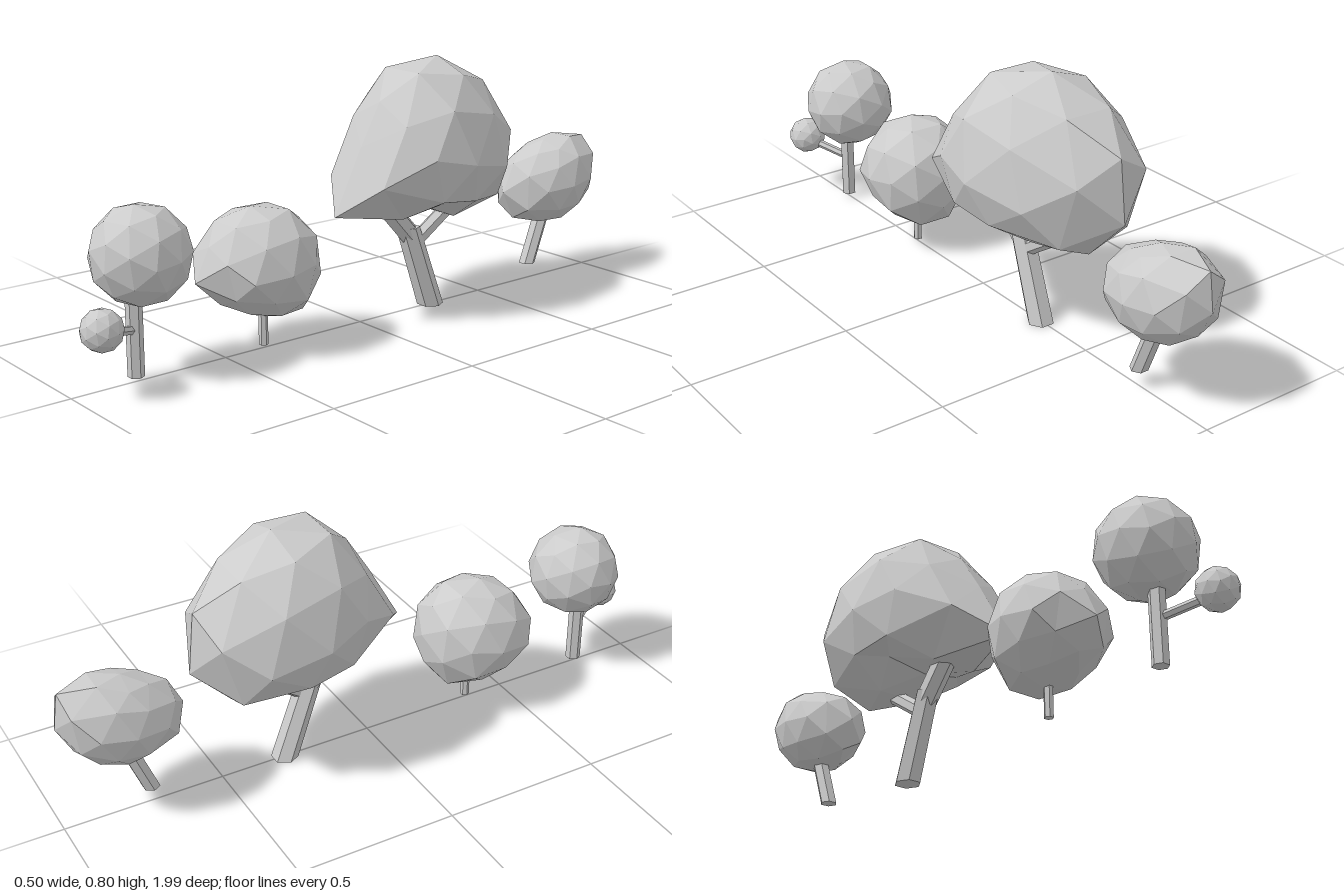
import * as THREE from 'three';

const material = new THREE.MeshStandardMaterial({ color: 0xcccccc, flatShading: true });

function addMesh(group, name, geometry) {
  geometry.computeVertexNormals();
  const mesh = new THREE.Mesh(geometry, material);
  mesh.name = name;
  group.add(mesh);
  return mesh;
}

// Distance from the centre to a closed side profile of [z, y] points, along (dz, dy)
function reach(profile, cz, cy, dz, dy) {
  for (let i = 0; i < profile.length; i++) {
    const p = profile[i], q = profile[(i + 1) % profile.length];
    const az = p[0] - cz, ay = p[1] - cy, bz = q[0] - cz, by = q[1] - cy;
    const inside = az * dy - ay * dz >= -1e-9 && dz * by - dy * bz >= -1e-9;
    if (inside && (az + bz) * dz + (ay + by) * dy > 0)
      return (az * by - ay * bz) / (dz * (by - ay) - dy * (bz - az));
  }
  return 0;
}

// Faceted crown: a subdivided icosahedron stretched to a side profile
function addCrown(group, { centre: [cx, cy, cz], halfWidth, profile, spin = 0, shear = 0 }) {
  const geo = new THREE.IcosahedronGeometry(1, 1).rotateX(-spin * Math.PI / 180);
  const pos = geo.attributes.position;
  for (let i = 0; i < pos.count; i++) {
    const x = pos.getX(i), y = pos.getY(i), z = pos.getZ(i);
    const len = Math.hypot(y, z);
    const r = len > 1e-5 ? reach(profile, cz, cy, z / len, y / len) : 0;
    pos.setXYZ(i, cx + x * halfWidth + z * r * shear, cy + y * r, cz + z * r);
  }
  addMesh(group, 'crown', geo);
}

// Six-sided trunk with level ends, leaning from a to b
function addTrunk(group, a, b, r0, r1 = r0) {
  const h = b[1] - a[1];
  const geo = new THREE.CylinderGeometry(r1, r0, h, 6).rotateY(Math.PI / 6);
  const pos = geo.attributes.position;
  for (let i = 0; i < pos.count; i++) {
    const t = pos.getY(i) / h + 0.5;
    pos.setXYZ(i, pos.getX(i) + a[0] + (b[0] - a[0]) * t, a[1] + h * t,
      pos.getZ(i) + a[2] + (b[2] - a[2]) * t);
  }
  addMesh(group, 'trunk', geo);
}

// Straight branch with square-cut ends
function addBranch(group, a, b, r) {
  const from = new THREE.Vector3(...a), dir = new THREE.Vector3(...b).sub(from);
  const len = dir.length();
  const mesh = addMesh(group, 'branch', new THREE.CylinderGeometry(r, r, len, 6));
  mesh.position.copy(from).addScaledVector(dir, 0.5);
  mesh.quaternion.setFromUnitVectors(new THREE.Vector3(0, 1, 0), dir.normalize());
}

function addBall(group, name, centre, r, [sx, sy, sz] = [1, 1, 1]) {
  addMesh(group, name, new THREE.IcosahedronGeometry(r, 1).rotateX(0.15).rotateY(0.3)
    .scale(sx, sy, sz).translate(...centre));
}

export function createModel() {
  const root = new THREE.Group();
  root.name = 'treeRow';
  const tree = (name) => {
    const g = new THREE.Group();
    g.name = name;
    root.add(g);
    return g;
  };

  // Round tree with a small side tuft
  const round = tree('roundTree');
  addBall(round, 'crown', [0, 0.36, 0.77], 0.146);
  addTrunk(round, [0, 0.015, 0.797], [0, 0.26, 0.797], 0.024);
  addBranch(round, [0, 0.15, 0.8], [0.075, 0.19, 0.93], 0.013);
  addBall(round, 'sideTuft', [0.075, 0.2, 0.94], 0.061);

  // Pear-shaped tree
  const pear = tree('pearTree');
  addTrunk(pear, [0, 0.01, 0.365], [0, 0.16, 0.365], 0.014);
  addCrown(pear, {
    centre: [-0.005, 0.26, 0.38], halfWidth: 0.176, spin: -7, shear: -0.05,
    profile: [[0.59, 0.24], [0.565, 0.3], [0.49, 0.4], [0.37, 0.445], [0.27, 0.42], [0.21, 0.345],
      [0.19, 0.235], [0.22, 0.145], [0.265, 0.095], [0.37, 0.095], [0.48, 0.135], [0.58, 0.22]],
  });

  // Large forked tree
  const large = tree('largeTree');
  addTrunk(large, [0, 0, -0.29], [0, 0.27, -0.193], 0.042, 0.038);
  addBranch(large, [0, 0.245, -0.2], [0, 0.35, -0.105], 0.034);
  addBranch(large, [0, 0.225, -0.235], [0, 0.36, -0.44], 0.024);
  addCrown(large, {
    centre: [0, 0.5, -0.25], halfWidth: 0.248, spin: 12, shear: 0.12,
    profile: [[0.135, 0.36], [0.075, 0.465], [-0.02, 0.635], [-0.12, 0.77], [-0.25, 0.82],
      [-0.435, 0.75], [-0.59, 0.605], [-0.6, 0.4], [-0.49, 0.29], [-0.28, 0.285],
      [-0.19, 0.365], [0, 0.29]],
  });

  // Leaning tree
  const leaning = tree('leaningTree');
  addTrunk(leaning, [0, 0.053, -0.727], [0, 0.23, -0.795], 0.027);
  addCrown(leaning, {
    centre: [0, 0.33, -0.8], halfWidth: 0.137, spin: -5,
    profile: [[-0.605, 0.32], [-0.645, 0.4], [-0.755, 0.46], [-0.9, 0.485], [-0.975, 0.46],
      [-1, 0.37], [-0.965, 0.275], [-0.89, 0.21], [-0.785, 0.18], [-0.64, 0.225]],
  });
  return root;
}
